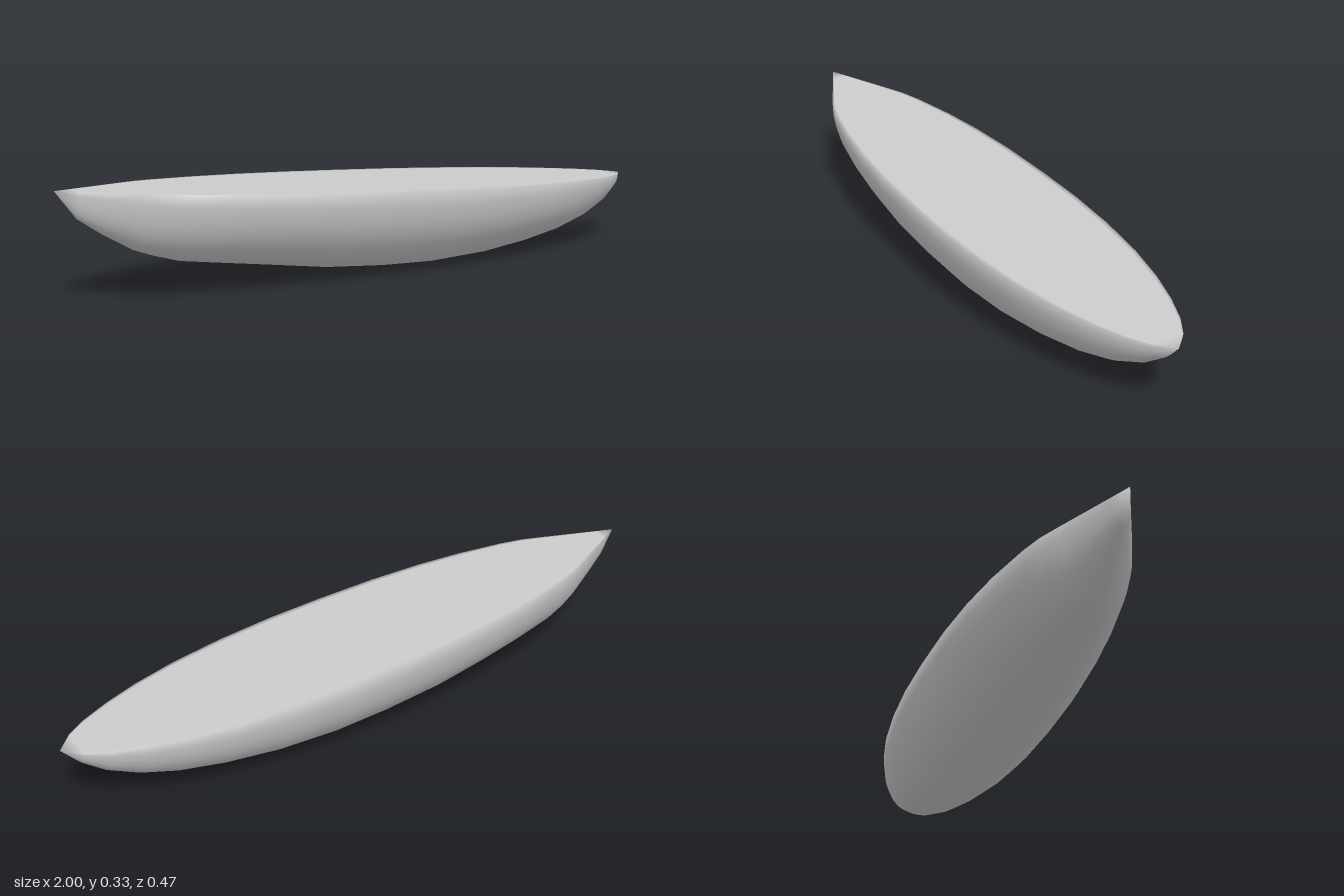
import * as THREE from 'three';
import { mergeVertices } from 'three/addons/utils/BufferGeometryUtils.js';

// Stations along the hull: [x, half width, keel height]
const STATIONS = [
  [-1, 0, 0.333], [-0.94, 0.029, 0.25], [-0.87, 0.063, 0.2], [-0.78, 0.107, 0.145],
  [-0.72, 0.135, 0.122], [-0.65, 0.157, 0.1], [-0.5, 0.191, 0.077], [-0.35, 0.214, 0.054],
  [-0.18, 0.229, 0.027], [0.02, 0.235, 0.009], [0.2, 0.234, 0.001], [0.38, 0.222, 0.007],
  [0.55, 0.199, 0.026], [0.69, 0.167, 0.05], [0.8, 0.131, 0.081], [0.89, 0.092, 0.122],
  [0.95, 0.054, 0.165], [1, 0, 0.217],
];
const HULL_STEPS = 18;
const DECK_POINTS = [-0.93, 0, 0.93]; // across the flat deck, as a share of half width

const deckHeight = (x) => 0.275 - 0.058 * x;

// Half-elliptical hull section, closed across the top by the deck
function section([x, halfWidth, keel]) {
  const top = deckHeight(x);
  const points = [];
  for (let j = 0; j <= HULL_STEPS; j++) {
    const a = (j / HULL_STEPS) * Math.PI;
    points.push([x, top - (top - keel) * Math.sin(a), halfWidth * Math.cos(a)]);
  }
  for (const s of DECK_POINTS) points.push([x, top, halfWidth * s]);
  return points;
}

// Skin the closed sections into one smooth surface
function loft(sections) {
  const n = sections[0].length;
  const index = [];
  for (let i = 0; i < sections.length - 1; i++) {
    for (let j = 0; j < n; j++) {
      const k = (j + 1) % n;
      const a = i * n + j, b = i * n + k, c = a + n, d = b + n;
      index.push(a, b, c, b, d, c);
    }
  }
  let geometry = new THREE.BufferGeometry();
  geometry.setAttribute('position', new THREE.Float32BufferAttribute(sections.flat(2), 3));
  geometry.setIndex(index);
  geometry = mergeVertices(geometry, 1e-5); // closes both pointed ends
  geometry.computeVertexNormals();
  return geometry;
}

export function createModel() {
  const group = new THREE.Group();
  group.name = 'boatHull';
  const material = new THREE.MeshStandardMaterial({ color: 0xcccccc });

  // Hull and flat sloping deck with a softened rim
  const hull = new THREE.Mesh(loft(STATIONS.map(section)), material);
  hull.name = 'hullAndDeck';
  group.add(hull);
  return group;
}
